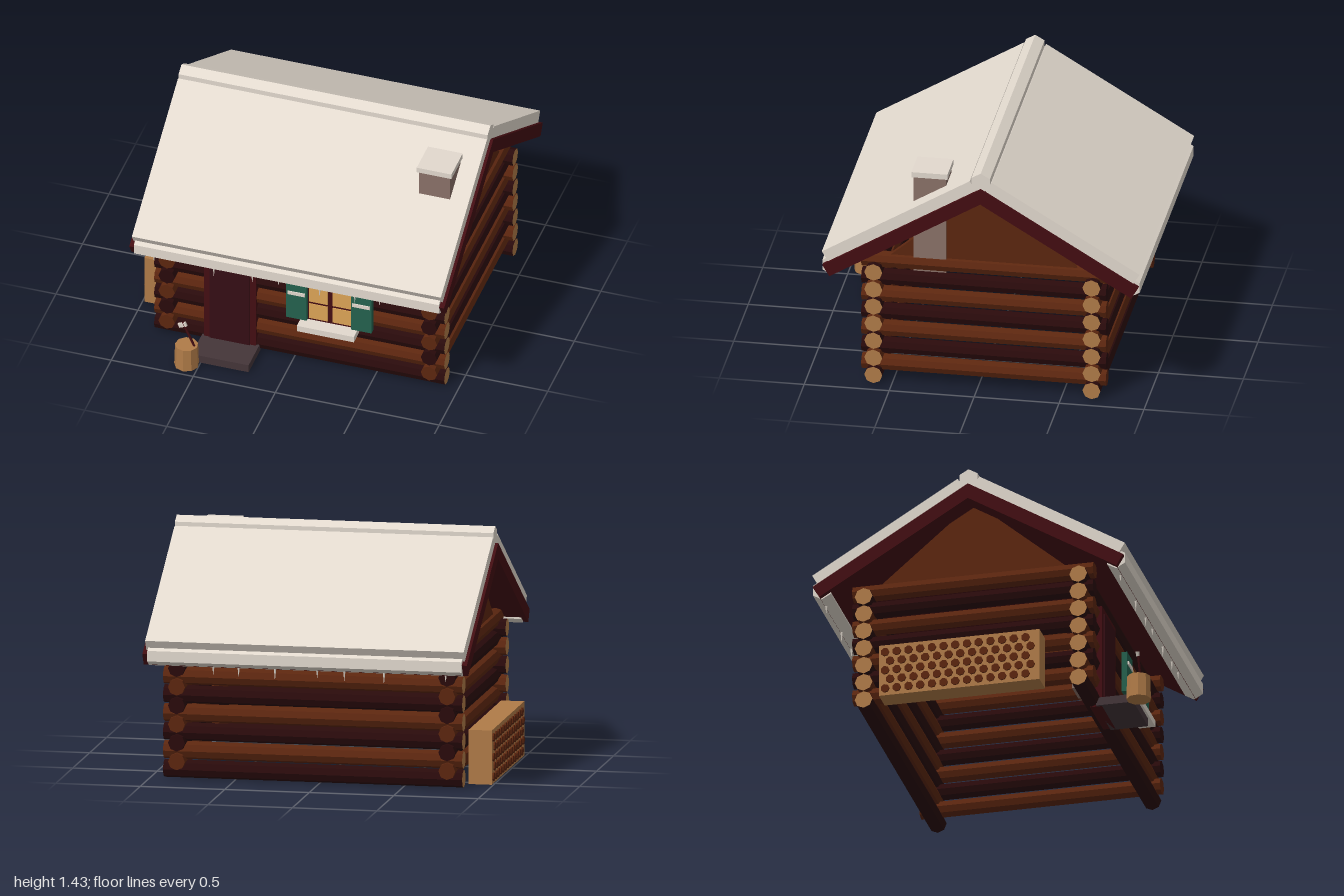
import * as THREE from 'three';

const mat = (name, color) => {
  const m = new THREE.MeshStandardMaterial({ color });
  m.name = name;
  return m;
};

export function createModel() {
  const snow = mat('snow', 0xe2d9ce), darkWood = mat('darkWood', 0x290a0b);
  const brownWood = mat('brownWood', 0x5c260f), cutWood = mat('cutWood', 0xb07b48);
  const roofRed = mat('roofRed', 0x430d12), shutterGreen = mat('shutterGreen', 0x24614e);
  const stone = mat('stone', 0x8a7168), slate = mat('slate', 0x443539);
  const warmGlass = mat('warmGlass', 0xdca456), doorWood = mat('doorWood', 0x350d14);

  const model = new THREE.Group();
  const CX = 0.035, CZ = -0.035; // centre of the cabin

  function group(name, parent = model) {
    const g = new THREE.Group();
    g.name = name;
    parent.add(g);
    return g;
  }
  function add(name, geo, material, parent = model) {
    const m = new THREE.Mesh(geo, material);
    m.name = name;
    parent.add(m);
    return m;
  }
  // Box given by its min and max on each axis
  function box(name, material, x0, x1, y0, y1, z0, z1, parent) {
    const m = add(name, new THREE.BoxGeometry(x1 - x0, y1 - y0, z1 - z0), material, parent);
    m.position.set((x0 + x1) / 2, (y0 + y1) / 2, (z0 + z1) / 2);
    return m;
  }
  // Faceted cylinder
  function prism(rTop, rBottom, length, sides) {
    const g = new THREE.CylinderGeometry(rTop, rBottom, length, sides).toNonIndexed();
    g.computeVertexNormals();
    return g;
  }

  // Log walls: the two directions interlock half a log apart
  const walls = group('logWalls');
  const xLog = prism(0.053, 0.053, 1.77, 8).rotateZ(Math.PI / 2);
  const zLog = prism(0.05, 0.05, 1.44, 8).rotateX(Math.PI / 2);
  for (let i = 0; i < 7; i++) {
    for (const s of [-1, 1]) {
      const bark = i % 2 ? brownWood : darkWood;
      const a = add(s > 0 ? 'frontLog' : 'backLog', xLog, [bark, cutWood, cutWood], walls);
      a.position.set(CX, 0.055 + i * 0.11, CZ + s * 0.642);
      const b = add(s > 0 ? 'leftLog' : 'rightLog', zLog, i % 2 ? darkWood : brownWood, walls);
      b.position.set(CX + s * 0.8, 0.107 + i * 0.11, CZ);
    }
  }

  // Gables
  const tri = new THREE.Shape();
  tri.moveTo(-0.6, 0.765);
  tri.lineTo(0.6, 0.765);
  tri.lineTo(0, 1.275);
  tri.closePath();
  const gableGeo = new THREE.ExtrudeGeometry(tri, { depth: 0.04, bevelEnabled: false })
    .translate(0, 0, -0.02).rotateY(Math.PI / 2);
  for (const s of [-1, 1]) {
    add('gable', gableGeo, brownWood).position.set(CX + s * 0.8, 0, CZ);
  }

  // Roof: board slab, snow blanket, eave roll and icicles, the same on both slopes
  const roof = group('roof');
  roof.position.set(CX, 0, CZ);
  const pitch = Math.atan(0.6);
  const hexBar = (r, length) => prism(r, r, length, 6).rotateZ(Math.PI / 2).rotateX(Math.PI / 2);
  const icicleX = [-0.79, -0.425, -0.19, -0.03, 0.22, 0.435, 0.585];
  for (const s of [1, -1]) {
    const slope = group(s > 0 ? 'frontSlope' : 'backSlope', roof);
    slope.rotation.y = s > 0 ? 0 : Math.PI;
    const slab = add('roofBoards', new THREE.BoxGeometry(1.92, 0.08, 1.084), roofRed, slope);
    slab.position.set(0, 1.019, 0.444);
    slab.rotation.x = pitch;
    const blanket = add('roofSnow', new THREE.BoxGeometry(1.885, 0.07, 1.015), snow, slope);
    blanket.position.set(0, 1.085, 0.482);
    blanket.rotation.x = pitch;
    const roll = add('eaveSnow', hexBar(0.062, 1.86), snow, slope);
    roll.position.set(0, 0.764, 0.88);
    icicleX.forEach((x, i) => {
      const len = 0.05 + 0.025 * ((i * 2) % 3) / 2;
      const c = add('icicle', new THREE.ConeGeometry(0.008, len, 5).rotateX(Math.PI), snow, slope);
      c.position.set((x - CX) * s, 0.71 - len / 2, 0.88);
    });
  }
  add('ridgeSnow', hexBar(0.063, 1.885), snow, roof).position.set(0, 1.367, 0);

  // Chimney
  const chimney = group('chimney');
  box('chimneyShaft', stone, 0.675, 0.865, 0.72, 1.33, 0.187, 0.38, chimney);
  box('chimneySnow', snow, 0.665, 0.877, 1.325, 1.358, 0.178, 0.39, chimney);

  // Door and step
  const door = group('door');
  box('doorFrame', roofRed, -0.54, -0.225, 0, 0.64, 0.6, 0.672, door);
  box('doorPanel', doorWood, -0.505, -0.26, 0.03, 0.605, 0.672, 0.68, door);
  box('doorStep', slate, -0.555, -0.207, 0, 0.05, 0.64, 0.863);

  // Window with four panes, shutters and a snowy sill
  const win = group('window');
  box('windowFrame', roofRed, 0.085, 0.37, 0.32, 0.575, 0.6, 0.672, win);
  for (const x of [0.1, 0.245]) {
    for (const y of [0.335, 0.455]) {
      box('pane', warmGlass, x, x + 0.115, y, y + 0.105, 0.672, 0.677, win);
    }
  }
  for (const x of [-0.033, 0.362]) {
    box('shutter', shutterGreen, x, x + 0.126, 0.325, 0.575, 0.66, 0.695, win);
    box('shutterSnow', snow, x + 0.01, x + 0.116, 0.498, 0.52, 0.695, 0.702, win);
  }
  box('sillSnow', snow, 0.052, 0.4, 0.283, 0.322, 0.65, 0.755, win);

  // Chopping stump with an axe
  const stump = group('stump');
  stump.position.set(-0.573, 0, 0.9);
  add('stumpBlock', prism(0.068, 0.073, 0.145, 9), cutWood, stump).position.y = 0.0725;
  const axe = group('axe', stump);
  axe.position.set(0.05, 0.135, 0);
  axe.rotation.z = 0.42;
  add('axeHandle', prism(0.007, 0.007, 0.18, 6), roofRed, axe).position.y = 0.09;
  const head = add('axeHead', new THREE.BoxGeometry(0.05, 0.028, 0.012), snow, axe);
  head.position.set(-0.008, 0.165, 0);

  // Firewood stack with staggered log ends
  const stack = group('firewoodStack');
  box('stackBlock', cutWood, -0.99, -0.853, 0, 0.32, -0.55, 0.41, stack);
  const billet = prism(0.026, 0.026, 0.1, 7).rotateZ(Math.PI / 2);
  for (let row = 0; row < 5; row++) {
    for (let col = 0; col < 13; col++) {
      const m = add('firewoodEnd', billet, brownWood, stack);
      m.position.set(-0.949, 0.042 + row * 0.058, -0.512 + col * 0.07 + (row % 2) * 0.03);
    }
  }
  return model;
}
